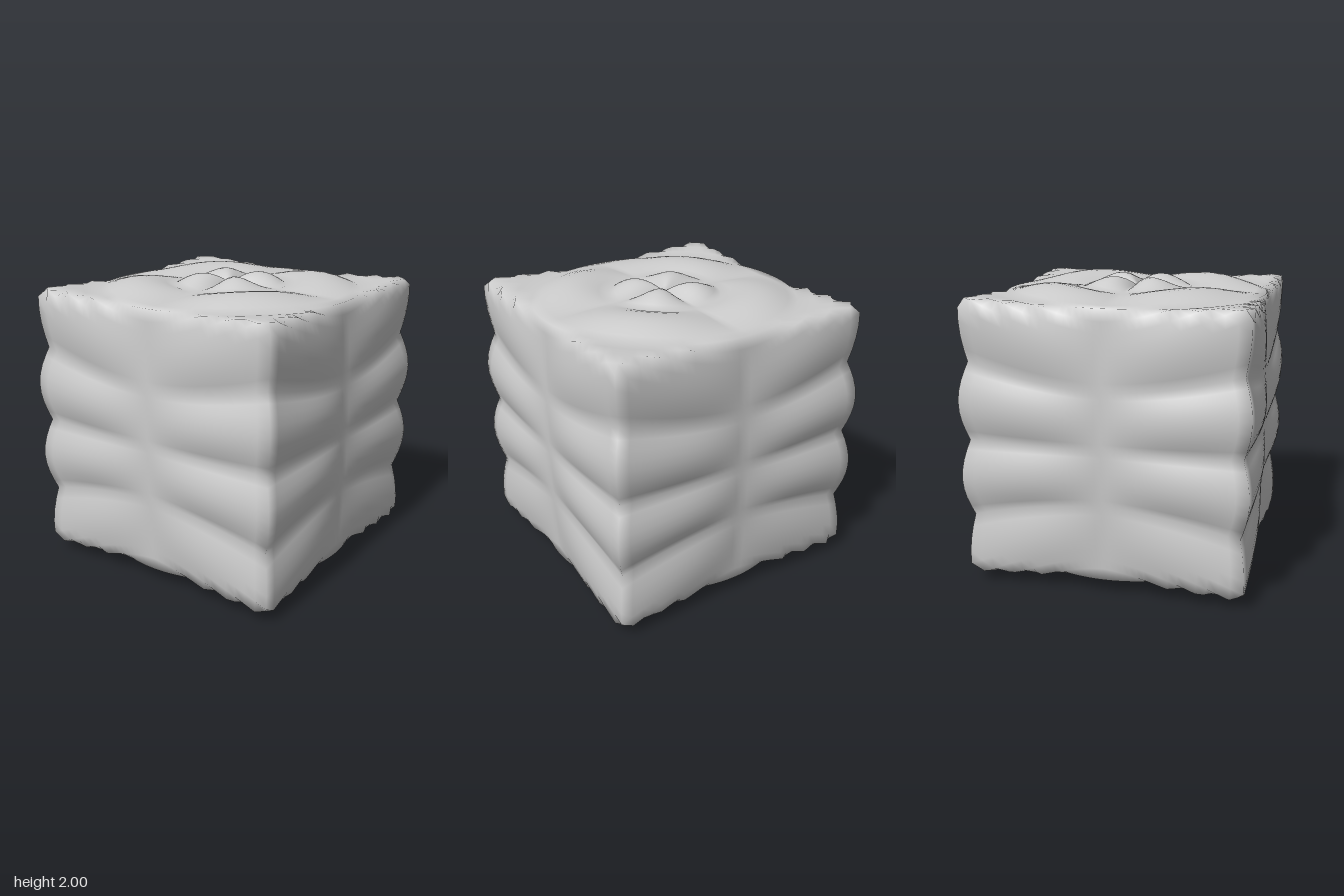
import * as THREE from 'three';
import { mergeVertices } from 'three/addons/utils/BufferGeometryUtils.js';

const HALF = 0.93;    // distance from centre to the middle of each face
const BULGE = 0.094;  // how much the faces fall away towards edges and corners
const RIPPLE = 0.073; // height of the pillowy bumps

// Distance from the centre to the surface along a unit direction
function radius(d) {
  const m = Math.max(Math.abs(d.x), Math.abs(d.y), Math.abs(d.z));
  const lat = Math.asin(THREE.MathUtils.clamp(d.y, -1, 1));
  const lon = Math.atan2(d.z, d.x);
  const cube = HALF * Math.pow(m, BULGE - 1);
  return cube + RIPPLE * Math.abs(Math.sin(8 * lat) * Math.sin(2 * lon));
}

export function createModel() {
  const group = new THREE.Group();
  group.name = 'rippledCube';

  // Latitude/longitude sphere pushed out to a cube with creased bands
  let geometry = new THREE.SphereGeometry(1, 128, 64);
  geometry.deleteAttribute('uv');
  geometry.deleteAttribute('normal');
  geometry = mergeVertices(geometry, 1e-5);
  const pos = geometry.attributes.position;
  const d = new THREE.Vector3();
  for (let i = 0; i < pos.count; i++) {
    d.fromBufferAttribute(pos, i).normalize();
    d.multiplyScalar(radius(d));
    pos.setXYZ(i, d.x, d.y, d.z);
  }
  geometry.computeVertexNormals();

  // Rest the lowest bumps on the ground
  geometry.computeBoundingBox();
  geometry.translate(0, -geometry.boundingBox.min.y, 0);

  const body = new THREE.Mesh(geometry, new THREE.MeshStandardMaterial({ color: 0xcccccc }));
  body.name = 'body';
  group.add(body);
  return group;
}
